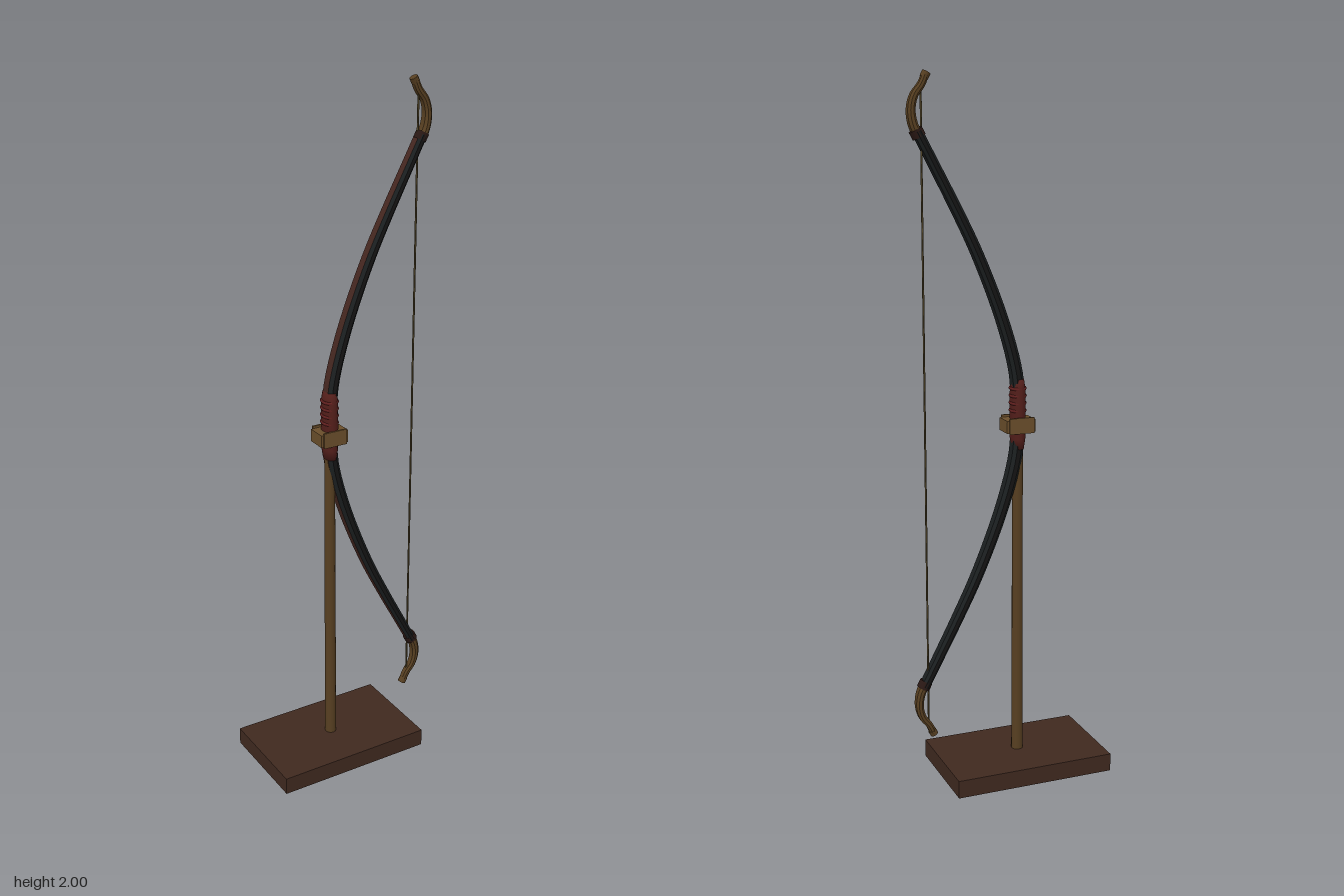
import * as THREE from 'three';

const mat = (name, color) => {
  const m = new THREE.MeshStandardMaterial({ color });
  m.name = name;
  return m;
};

const MID = 1.066; // height of the bow's centre
const GRIP_X = -0.04;

// Sweep an upward path in the xy plane. section: [n, z] corners, counter-clockwise,
// n pointing to the bow's back (-x). size(t) gives half thickness and half width.
// faceGroup(j) picks the material index of each side.
function sweep(path, steps, section, size, faceGroup = () => 0) {
  const curve = new THREE.CatmullRomCurve3(path.map(([x, y]) => new THREE.Vector3(x, y, 0)));
  const rings = [];
  for (let i = 0; i <= steps; i++) {
    const t = i / steps, p = curve.getPointAt(t), d = curve.getTangentAt(t);
    const [h, w] = size(t);
    rings.push(section.map(([n, z]) => [p.x - d.y * n * h, p.y + d.x * n * h, z * w]));
  }
  const pos = [], geo = new THREE.BufferGeometry(), k = section.length;
  for (let j = 0; j < k; j++) {
    const start = pos.length / 3, j2 = (j + 1) % k;
    for (let i = 0; i < steps; i++) {
      const a = rings[i][j], b = rings[i][j2], c = rings[i + 1][j2], d = rings[i + 1][j];
      pos.push(...a, ...b, ...c, ...a, ...c, ...d);
    }
    geo.addGroup(start, pos.length / 3 - start, faceGroup(j));
  }
  // end caps
  const start = pos.length / 3, lo = rings[0], hi = rings[steps];
  for (let j = 1; j < k - 1; j++) {
    pos.push(...lo[0], ...lo[j + 1], ...lo[j], ...hi[0], ...hi[j], ...hi[j + 1]);
  }
  geo.addGroup(start, pos.length / 3 - start, 0);
  geo.setAttribute('position', new THREE.Float32BufferAttribute(pos, 3));
  geo.computeVertexNormals();
  return geo;
}

const mirrorDown = (pts) => pts.map(([x, y]) => [x, 2 * MID - y]).reverse();

export function createModel() {
  const root = new THREE.Group();
  const walnut = mat('walnut', 0x3f291f);
  const oak = mat('oak', 0x6a4e2b);
  const agedOak = mat('aged oak', 0x573f21);
  const horn = mat('dark horn', 0x1b1f20);
  const core = mat('black core', 0x151414);
  const backing = mat('red-brown backing', 0x452720);
  const leather = mat('dark red leather', 0x521e1a);
  const cordRed = mat('red wrap', 0x62201f);
  const binding = mat('dark binding', 0x2a1814);
  const cord = mat('bowstring', 0x55482a);

  const add = (name, geo, material, x = 0, y = 0, z = 0, parent = root) => {
    const m = new THREE.Mesh(geo, material);
    m.name = name;
    m.position.set(x, y, z);
    parent.add(m);
    return m;
  };

  // Stand
  add('base', new THREE.BoxGeometry(0.474, 0.052, 0.295), walnut, GRIP_X, 0.026, 0);
  add('post', new THREE.CylinderGeometry(0.015, 0.017, 0.97, 12), agedOak, GRIP_X, 0.535, 0);
  add('cradle', new THREE.BoxGeometry(0.086, 0.036, 0.058), oak, GRIP_X, 1.034, 0);
  for (const s of [-1, 1]) {
    add('cradleCheek', new THREE.BoxGeometry(0.073, 0.045, 0.006), oak, GRIP_X, 1.036, s * 0.032);
  }

  // Limbs: one chamfered sweep from the lower end to the upper end
  const upper = [[-0.037, 1.16], [-0.027, 1.217], [0, 1.312], [0.037, 1.415], [0.09, 1.54],
    [0.148, 1.656], [0.203, 1.76], [0.247, 1.843]];
  const limbPath = [...mirrorDown(upper), [GRIP_X, MID], ...upper];
  const octagon = [[1, -0.6], [1, 0.6], [0.4, 1], [-0.4, 1], [-1, 0.6], [-1, -0.6], [-0.4, -1], [0.4, -1]];
  const limbSize = (t) => {
    const e = Math.abs(t * 2 - 1);
    return [0.0165 - 0.004 * e, 0.0235 - 0.005 * e];
  };
  // side 0 is the backing strip, sides 2 and 6 the core, the rest horn
  add('limbs', sweep(limbPath, 72, octagon, limbSize, (j) => (j === 0 ? 1 : j % 4 === 2 ? 2 : 0)),
    [horn, backing, core]);

  // Recurved tips with bindings and nocks
  const tip = [[0.244, 1.833], [0.258, 1.862], [0.263, 1.9], [0.254, 1.935], [0.234, 1.962], [0.222, 1.988]];
  for (const s of [1, -1]) {
    const g = new THREE.Group();
    g.name = s > 0 ? 'upperTip' : 'lowerTip';
    root.add(g);
    const size = (t) => {
      const e = s > 0 ? t : 1 - t;
      return [0.012 - 0.003 * e, 0.017 - 0.006 * e];
    };
    add('recurve', sweep(s > 0 ? tip : mirrorDown(tip), 20, octagon, size), agedOak, 0, 0, 0, g);
    const wrap = add('binding', new THREE.CylinderGeometry(0.019, 0.019, 0.022, 10), binding,
      0.246, MID + s * (1.838 - MID), 0, g);
    wrap.rotation.z = -s * 0.5;
    const nock = add('nock', new THREE.CylinderGeometry(0.012, 0.012, 0.016, 10), agedOak,
      0.222, MID + s * (1.987 - MID), 0, g);
    nock.rotation.z = s * 0.5;
  }

  // String
  add('string', new THREE.CylinderGeometry(0.0028, 0.0028, 1.8, 6), cord, 0.235, MID, 0);

  // Grip: flattened, tapered barrel with raised wraps above the cradle
  const barrel = [[0, -0.1], [0.025, -0.1], [0.031, -0.07], [0.032, 0], [0.031, 0.07], [0.025, 0.1], [0, 0.1]];
  const grip = add('grip', new THREE.LatheGeometry(barrel.map(([r, y]) => new THREE.Vector2(r, y)), 16),
    leather, GRIP_X, MID, 0);
  grip.scale.x = 0.66;
  for (let i = 0; i < 4; i++) {
    const ring = add('gripWrap', new THREE.TorusGeometry(0.026, 0.0045, 6, 16), cordRed,
      GRIP_X, 1.076 + i * 0.021, 0);
    ring.rotation.x = Math.PI / 2;
    ring.scale.x = 0.82;
  }

  return root;
}
